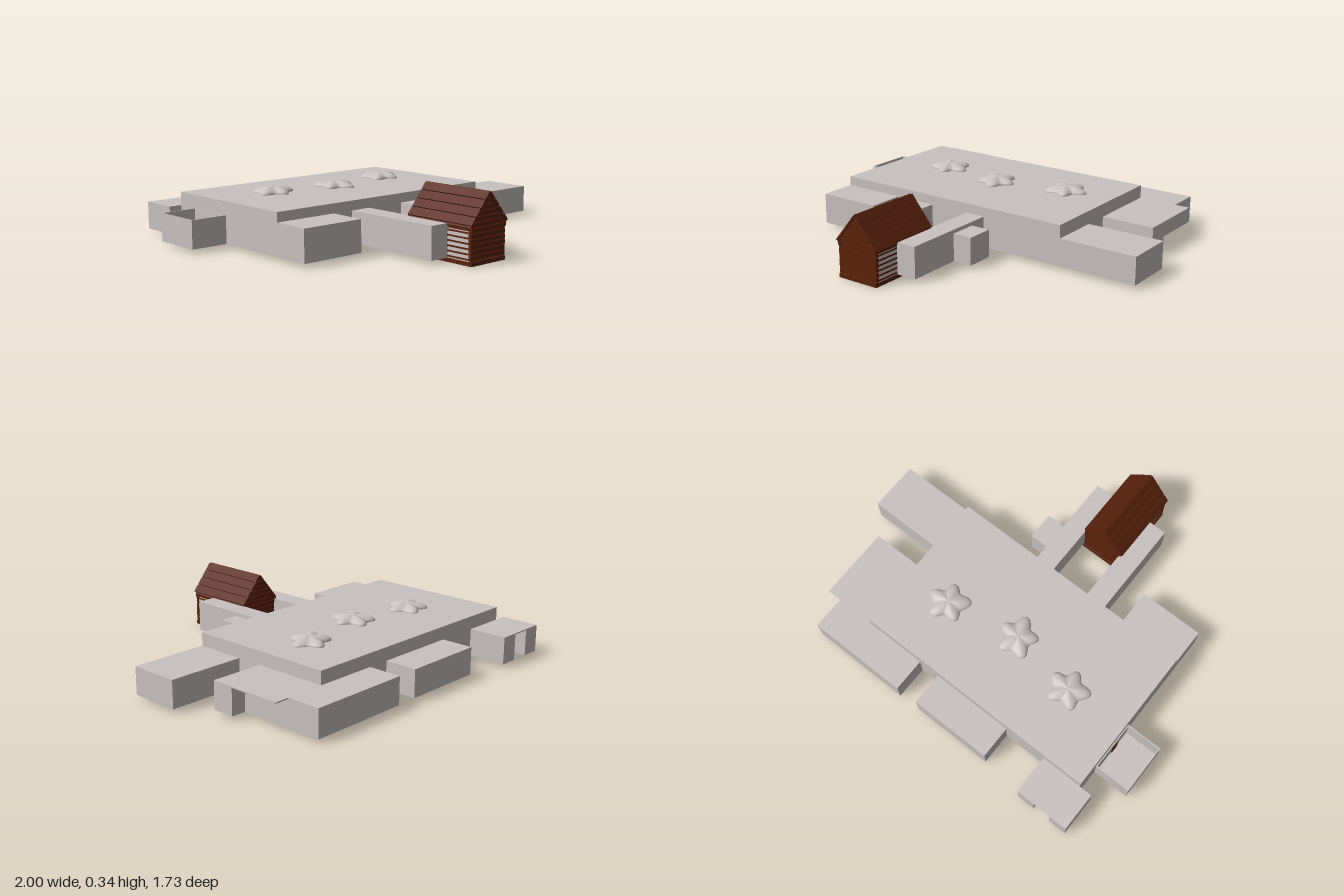
import * as THREE from 'three';

const stone = new THREE.MeshStandardMaterial({ color: 0xc8c1c1, side: THREE.DoubleSide });
stone.name = 'stone';
const wood = new THREE.MeshStandardMaterial({ color: 0x5a220b, side: THREE.DoubleSide });
wood.name = 'wood';

// Box given by its limits on each axis
function box(parent, name, mat, x0, x1, y0, y1, z0, z1) {
  const mesh = new THREE.Mesh(new THREE.BoxGeometry(x1 - x0, y1 - y0, z1 - z0), mat);
  mesh.position.set((x0 + x1) / 2, (y0 + y1) / 2, (z0 + z1) / 2);
  mesh.name = name;
  parent.add(mesh);
  return mesh;
}

// Thin walls around a rectangle
function walls(parent, name, x0, x1, y0, y1, z0, z1, t = 0.006) {
  box(parent, name, stone, x0, x0 + t, y0, y1, z0, z1);
  box(parent, name, stone, x1 - t, x1, y0, y1, z0, z1);
  box(parent, name, stone, x0 + t, x1 - t, y0, y1, z0, z0 + t);
  box(parent, name, stone, x0 + t, x1 - t, y0, y1, z1 - t, z1);
}

// Smooth five-lobed mound
function mound(x, z, lobeAngle, size) {
  const geo = new THREE.SphereGeometry(1, 50, 24);
  const p = geo.attributes.position;
  for (let i = 0; i < p.count; i++) {
    const a = Math.atan2(p.getZ(i), p.getX(i));
    const flat = Math.hypot(p.getX(i), p.getZ(i));
    const lobe = Math.cos(5 * (a - lobeAngle));
    const r = size * (1 + 0.2 * lobe * flat + 0.07 * Math.sin(2 * a + x * 9) * flat);
    p.setXYZ(i, p.getX(i) * r, p.getY(i) * (0.03 + 0.006 * lobe * flat), p.getZ(i) * r);
  }
  geo.computeVertexNormals();
  const mesh = new THREE.Mesh(geo, stone);
  mesh.position.set(x, 0.236, z);
  mesh.name = 'mound';
  return mesh;
}

function createHut() {
  const hut = new THREE.Group();
  hut.name = 'hut';
  const cx = -0.107, half = 0.118, eave = 0.2, ridge = 0.338, z0 = 0.44, z1 = 0.855;
  box(hut, 'hutFloor', wood, cx - half, cx + half, 0, 0.02, 0.435, z1);

  // Horizontal planks on both gable ends
  const rows = 13, pitch = 0.335 / rows;
  const widthAt = y => half * Math.min(1, (ridge - y) / (ridge - eave));
  for (const z of [z0 + 0.012, z1 - 0.012]) {
    for (let i = 0; i < rows; i++) {
      const y = i * pitch, top = y + pitch - 0.003;
      const a = widthAt(y), b = widthAt(top);
      const s = new THREE.Shape([
        new THREE.Vector2(-a, y), new THREE.Vector2(a, y),
        new THREE.Vector2(b, top), new THREE.Vector2(-b, top)]);
      const g = new THREE.ExtrudeGeometry(s, { depth: 0.016, bevelEnabled: false });
      const m = new THREE.Mesh(g, wood);
      m.position.set(cx, 0, z - 0.008);
      m.name = 'gablePlank';
      hut.add(m);
    }
  }

  for (const s of [-1, 1]) {
    // Pale side panels with narrow battens
    const x = cx + s * (half - 0.006);
    box(hut, 'sidePanel', stone, x - 0.003, x + 0.003, 0.02, 0.165, z0 + 0.02, z1 - 0.02);
    for (const y of [0.03, 0.055, 0.08, 0.105, 0.13, 0.155])
      box(hut, 'sideBatten', wood, x - 0.006, x + 0.006, y - 0.004, y + 0.004, z0 + 0.02, z1 - 0.02);
    box(hut, 'wallPlate', wood, x - 0.006, x + 0.006, 0.165, 0.2, z0, z1);

    // Long roof planks
    const dx = half + 0.006, dy = ridge + 0.004 - 0.192;
    const len = Math.hypot(dx, dy), n = 4;
    for (let i = 0; i < n; i++) {
      const t = (i + 0.5) / n;
      const plank = new THREE.Mesh(new THREE.BoxGeometry(len / n - 0.005, 0.01, 0.415), wood);
      plank.position.set(cx + s * dx * t, ridge + 0.002 - dy * t, 0.6525);
      plank.rotation.z = -s * Math.atan2(dy, dx);
      plank.name = 'roofPlank';
      hut.add(plank);
    }
    // Lining below the plank gaps
    const lining = new THREE.Mesh(new THREE.BoxGeometry(len, 0.004, 0.4), wood);
    lining.position.set(cx + s * dx / 2, ridge - 0.007 - dy / 2, 0.6525);
    lining.rotation.z = -s * Math.atan2(dy, dx);
    lining.name = 'roofLining';
    hut.add(lining);
  }
  return hut;
}

export function createModel() {
  const model = new THREE.Group();
  model.name = 'compound';
  const lo = 0.02, hi = 0.165, tall = 0.185;

  // Main hall and its solid side rooms: x0, x1, top, z0, z1
  const rooms = [
    ['mainHall', -0.8, 0.58, 0.235, -0.66, 0.15],
    ['eastRoom', 0.58, 1.0, hi, -0.12, 0.15],
    ['frontRoom', -0.8, -0.45, tall, 0.15, 0.35],
    ['westCorridor', -0.33, -0.215, tall, 0.15, 0.7],
    ['eastCorridor', 0.01, 0.12, tall, 0.15, 0.7],
    ['corridorCloset', 0.12, 0.225, hi, 0.25, 0.4],
    ['backEastRoom', 0.24, 0.79, hi, -0.84, -0.66],
    ['sideEastRoom', 0.58, 0.79, hi, -0.66, -0.26],
    ['sideEastBay', 0.79, 0.87, hi, -0.38, -0.26],
    ['backWestRoomInner', -0.67, -0.57, hi, -0.87, -0.66],
    ['backWestRoomOuter', -0.87, -0.77, hi, -0.87, -0.66],
    ['backWestRoomRecess', -0.77, -0.67, hi, -0.76, -0.66],
  ];
  for (const [name, x0, x1, top, z0, z1] of rooms) box(model, name, stone, x0, x1, lo, top, z0, z1);

  // Roof plates bridging the recesses
  box(model, 'eastRoofPlate', stone, 0.79, 0.87, hi - 0.006, hi, -0.66, -0.38);
  box(model, 'westRoofPlate', stone, -0.77, -0.67, hi - 0.006, hi, -0.87, -0.76);

  // Back room, open underneath
  walls(model, 'backRoomWall', -0.33, 0.12, lo, hi - 0.006, -0.835, -0.66);
  box(model, 'backRoomRoof', stone, -0.33, 0.12, hi - 0.006, hi, -0.835, -0.66);

  // Roofless west yard with a wooden door into the hall
  walls(model, 'yardWall', -1.0, -0.8, lo, hi, -0.53, -0.26);
  box(model, 'yardFloor', stone, -0.994, -0.806, lo, lo + 0.006, -0.524, -0.266);
  box(model, 'yardDoor', wood, -0.811, -0.805, 0.03, 0.13, -0.4, -0.355);

  // Wooden feet under the back of the hall
  for (const x of [-0.315, 0.095]) {
    const foot = new THREE.Mesh(new THREE.CylinderGeometry(0.036, 0.036, 0.012, 16), wood);
    foot.position.set(x, 0.018, -0.62);
    foot.name = 'foot';
    model.add(foot);
  }

  model.add(mound(-0.46, -0.32, -1.08, 0.094));
  model.add(mound(-0.09, -0.26, -1.2, 0.094));
  model.add(mound(0.31, -0.335, -1.3, 0.094));
  model.add(createHut());
  return model;
}
